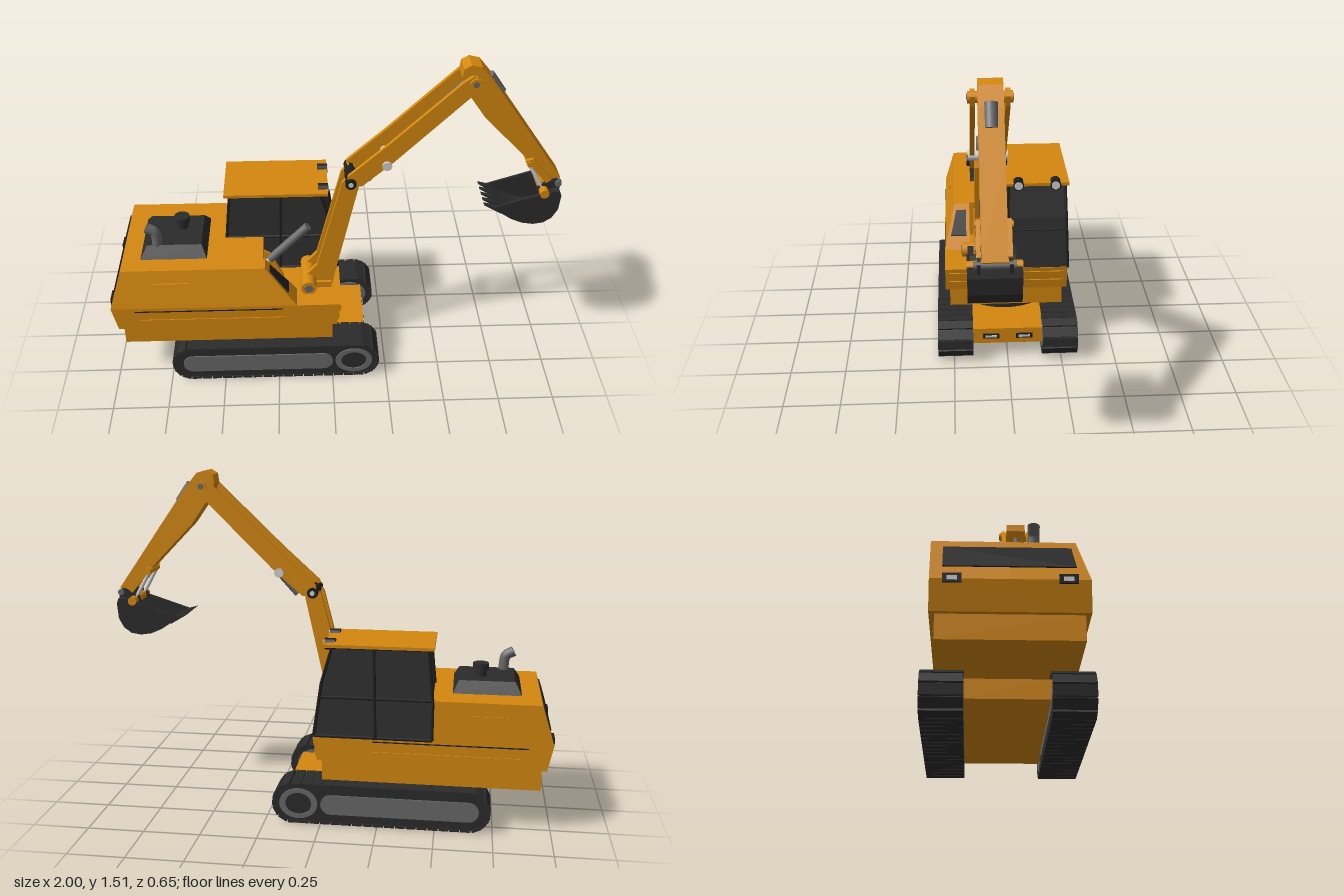
import * as THREE from 'three';
import { ConvexGeometry } from 'three/addons/geometries/ConvexGeometry.js';

const mat = (name, color) => {
  const m = new THREE.MeshStandardMaterial({ color });
  m.name = name;
  return m;
};
const V = (x, y, z) => new THREE.Vector3(x, y, z);

export function createModel() {
  const paint = mat('orange paint', 0xd4880f);
  const rubber = mat('track black', 0x2b2b2b);
  const glass = mat('dark glass', 0x303030);
  const trim = mat('black trim', 0x1e1e1e);
  const steel = mat('grey steel', 0x686868);
  const chrome = mat('pale steel', 0xd2d2d2);
  const model = new THREE.Group();
  model.name = 'excavator';

  const add = (name, geo, m, parent = model) => {
    const mesh = new THREE.Mesh(geo, m);
    mesh.name = name;
    parent.add(mesh);
    return mesh;
  };
  // Box given by its two extreme corners
  const box = (name, m, x0, x1, y0, y1, z0, z1, parent) => {
    const b = add(name, new THREE.BoxGeometry(x1 - x0, y1 - y0, z1 - z0), m, parent);
    b.position.set((x0 + x1) / 2, (y0 + y1) / 2, (z0 + z1) / 2);
    return b;
  };
  // Side profile extruded from z0 to z1
  const slab = (name, m, pts, z0, z1, parent) => {
    const shape = new THREE.Shape(pts.map(p => new THREE.Vector2(...p)));
    const geo = new THREE.ExtrudeGeometry(shape, { depth: z1 - z0, bevelEnabled: false });
    return add(name, geo.translate(0, 0, z0), m, parent);
  };
  // Cylinder between two points
  const rod = (name, m, a, b, r, parent, sides = 20) => {
    const d = b.clone().sub(a);
    const c = add(name, new THREE.CylinderGeometry(r, r, d.length(), sides), m, parent);
    c.position.copy(a).addScaledVector(d, 0.5);
    c.quaternion.setFromUnitVectors(V(0, 1, 0), d.normalize());
    return c;
  };
  const pin = (name, m, x, y, z0, z1, r, parent) => rod(name, m, V(x, y, z0), V(x, y, z1), r, parent);
  const hull = (name, m, pts, parent) => add(name, new ConvexGeometry(pts.map(p => V(...p))), m, parent);
  // Thin plate raised from a flat face
  const plate = (name, m, pts, off, parent) =>
    hull(name, m, [...pts, ...pts.map(p => p.map((v, i) => v + off[i]))], parent);

  // Tracks: belt, shoes, side panel and idler wheel
  const X0 = -0.647, X1 = 0.122, CY = 0.0925, LEN = X1 - X0;
  const stadium = (x0, x1, r) => {
    const s = new THREE.Shape();
    s.absarc(x1, CY, r, -Math.PI / 2, Math.PI / 2);
    s.absarc(x0, CY, r, Math.PI / 2, Math.PI * 1.5);
    return s;
  };
  const extrude = (shape, z0, z1) =>
    new THREE.ExtrudeGeometry(shape, { depth: z1 - z0, bevelEnabled: false, curveSegments: 16 }).translate(0, 0, z0);
  for (const side of [1, -1]) {
    const track = new THREE.Group();
    track.name = side > 0 ? 'rightTrack' : 'leftTrack';
    track.position.z = side * 0.2425;
    model.add(track);
    add('belt', extrude(stadium(X0, X1, 0.086), -0.076, 0.076), rubber, track);
    const r = 0.0865, arc = Math.PI * r, total = 2 * (LEN + arc), n = 44;
    for (let i = 0; i < n; i++) {
      let s = (i / n) * total;
      const far = s >= total / 2;
      if (far) s -= total / 2;
      const a = s < LEN ? 0 : (s - LEN) / r;
      let x = s < LEN ? X0 + s : X1 + r * Math.sin(a);
      let y = r * Math.cos(a);
      if (far) { x = X0 + X1 - x; y = -y; }
      const shoe = add('trackShoe', new THREE.BoxGeometry(0.043, 0.012, 0.163), rubber, track);
      shoe.position.set(x, CY + y, 0);
      shoe.rotation.z = -a + (far ? Math.PI : 0);
    }
    for (const f of [1, -1]) {
      const z = f * 0.078;
      add('sidePanel', extrude(stadium(-0.645, -0.045, 0.045), z - 0.004, z + 0.004), steel, track);
      const ring = new THREE.Shape().absellipse(0.098, CY, 0.085, 0.07, 0, Math.PI * 2);
      ring.holes.push(new THREE.Path().absellipse(0.098, CY, 0.058, 0.05, 0, Math.PI * 2));
      add('idlerRing', extrude(ring, z - 0.004, z + 0.004), steel, track);
    }
  }

  // Undercarriage and turntable
  box('undercarriage', paint, -0.68, 0.155, 0.07, 0.148, -0.167, 0.167);
  add('turntable', new THREE.CylinderGeometry(0.24, 0.24, 0.05, 36), rubber).position.set(-0.27, 0.168, 0);
  for (const z of [0.077, -0.077]) {
    box('lampFrame', trim, 0.153, 0.159, 0.096, 0.121, z - 0.038, z + 0.038);
    box('lampLens', chrome, 0.157, 0.162, 0.103, 0.114, z - 0.026, z + 0.026);
  }

  // House: skirt, platform, engine cover
  box('lowerSkirt', paint, -0.95, 0, 0.188, 0.29, -0.265, 0.265);
  const ring = (y, x0, x1, z0, z1) => [[x0, y, z0], [x0, y, z1], [x1, y, z0], [x1, y, z1]];
  hull('platform', paint, [...ring(0.285, -0.97, 0.02, -0.285, 0.285), ...ring(0.4, -0.995, 0.037, -0.285, 0.285)]);
  hull('leftEngineCover', paint, [...ring(0.4, -0.995, -0.475, -0.285, 0), ...ring(0.577, -0.94, -0.475, -0.285, 0)]);
  hull('rightEngineCover', paint, [...ring(0.4, -0.995, -0.31, 0, 0.285), ...ring(0.577, -0.94, -0.31, 0, 0.238)]);
  hull('sideTank', paint, [...ring(0.4, -0.31, -0.16, 0.165, 0.285), ...ring(0.577, -0.311, -0.3, 0.165, 0.238)]);
  plate('tankGrille', trim, [[-0.282, 0.55, 0.182], [-0.282, 0.55, 0.228], [-0.2, 0.452, 0.182], [-0.2, 0.452, 0.256]],
    [0.005, 0.005, 0]);
  plate('rearGrille', trim, [[-0.977, 0.455, -0.24], [-0.977, 0.455, 0.235], [-0.949, 0.545, -0.24], [-0.949, 0.545, 0.22]],
    [-0.006, 0.002, 0]);
  for (const z of [0.205, -0.205]) {
    box('rearLampFrame', trim, -1, -0.99, 0.385, 0.42, z - 0.034, z + 0.034);
    box('rearLampLens', chrome, -1.002, -0.996, 0.393, 0.41, z - 0.018, z + 0.018);
  }
  // Pressed strips on sides and front
  for (const s of [1, -1]) {
    const z = s * 0.285;
    box('sideSlot', trim, -0.89, -0.225, 0.379, 0.384, z - 0.002, z + 0.002);
    box('sideStrip', paint, -0.87, -0.21, 0.328, 0.336, z - 0.004, z + 0.004);
  }
  plate('rightHatch', paint, [[-0.8, 0.503, 0.258], [-0.64, 0.503, 0.258], [-0.8, 0.518, 0.2545], [-0.64, 0.518, 0.2545]], [0, 0, 0.006]);
  box('leftHatch', paint, -0.8, -0.64, 0.503, 0.518, -0.289, -0.283);
  for (const [y0, y1] of [[0.3, 0.333], [0.347, 0.38]]) {
    const fx = y => 0.02 + (y - 0.285) * 0.148;
    plate('frontRib', paint, [[fx(y0), y0, -0.27], [fx(y0), y0, 0.27], [fx(y1), y1, -0.27], [fx(y1), y1, 0.27]], [0.007, 0, 0]);
  }

  // Engine hood, air intake and exhaust
  hull('engineHood', rubber, [...ring(0.575, -0.86, -0.56, -0.16, 0.157), ...ring(0.626, -0.83, -0.585, -0.115, 0.112)]);
  rod('airIntake', rubber, V(-0.68, 0.62, -0.03), V(-0.68, 0.665, -0.03), 0.026);
  rod('airIntakeCap', rubber, V(-0.68, 0.655, -0.03), V(-0.68, 0.685, -0.03), 0.035);
  const bend = new THREE.CatmullRomCurve3([V(-0.785, 0.61, 0.095), V(-0.785, 0.66, 0.095), V(-0.793, 0.69, 0.095), V(-0.827, 0.71, 0.095)]);
  const pipe = add('exhaustPipe', new THREE.TubeGeometry(bend, 20, 0.023, 14), steel);
  pipe.material.side = THREE.DoubleSide;

  // Cab: glazed body, frame bars, roof and work lamps
  const profile = [[-0.48, 0.4], [-0.48, 0.57], [-0.457, 0.797], [-0.045, 0.797], [0, 0.64], [0.034, 0.4]];
  const inset = y => Math.max(0, (y - 0.4) * 0.035);
  const cabPt = ([x, y], s) => V(x, y, s > 0 ? 0 - inset(y) : -0.287 + inset(y));
  add('cabGlass', new ConvexGeometry(profile.flatMap(p => [cabPt(p, 1), cabPt(p, -1)])), glass);
  for (const s of [1, -1]) {
    profile.forEach((p, i) => rod('cabFrameBar', trim, cabPt(p, s), cabPt(profile[(i + 1) % 6], s), 0.007, model, 6));
    rod('cabPillar', trim, cabPt([-0.235, 0.4], s), cabPt([-0.225, 0.797], s), 0.007, model, 6);
    rod('cabSideRail', trim, cabPt([-0.48, 0.575], s), cabPt([0.009, 0.575], s), 0.006, model, 6);
  }
  rod('cabFrontRail', trim, cabPt([0.009, 0.585], 1), cabPt([0.009, 0.585], -1), 0.006, model, 6);
  box('cabRoof', paint, -0.482, -0.01, 0.797, 0.811, -0.289, 0.002);
  for (const z of [-0.058, -0.227]) {
    rod('workLamp', trim, V(-0.055, 0.8, z), V(-0.008, 0.8, z), 0.025);
    rod('workLampLens', chrome, V(-0.01, 0.8, z), V(-0.004, 0.8, z), 0.019);
  }

  // Boom foot pivot and lift cylinder
  pin('boomFootPin', paint, -0.105, 0.43, 0, 0.205, 0.035);
  pin('boomFootCap', steel, -0.105, 0.43, 0.2, 0.208, 0.02);
  box('boomFootBlock', paint, -0.14, 0.0, 0.39, 0.43, 0.02, 0.16);
  for (const z of [0.055, 0.13]) slab('liftBracket', paint, [[-0.315, 0.4], [-0.22, 0.4], [-0.28, 0.53], [-0.315, 0.55]], z, z + 0.015);
  rod('liftRod', chrome, V(-0.32, 0.48, 0.1), V(-0.25, 0.555, 0.1), 0.012);
  rod('liftCylinder', steel, V(-0.28, 0.525, 0.1), V(-0.105, 0.705, 0.1), 0.019);

  // Boom: paired lower and upper plates
  const lower = [[-0.12, 0.41], [0.005, 0.41], [0.015, 0.47], [0.12, 0.95], [0.105, 0.985], [0.075, 0.995], [0.045, 0.96], [-0.065, 0.52], [-0.115, 0.46]];
  for (const z of [0.032, 0.124]) slab('lowerBoomPlate', paint, lower, z, z + 0.02);
  const upper = [[0.06, 0.95], [0.13, 0.955], [0.265, 1.075], [0.6, 1.41], [0.61, 1.45], [0.57, 1.47], [0.535, 1.445], [0.235, 1.155], [0.07, 1.005]];
  for (const z of [0.013, 0.145]) slab('upperBoomPlate', paint, upper, z, z + 0.019);
  pin('elbowPin', trim, 0.082, 0.97, 0, 0.176, 0.024);
  pin('elbowPinCap', chrome, 0.082, 0.97, -0.003, 0.179, 0.011);
  pin('crossRoller', chrome, 0.235, 1.058, 0.005, 0.174, 0.021);
  rod('stickCylinder', steel, V(0.155, 0.955, 0.088), V(0.245, 1.055, 0.088), 0.024);
  rod('stickRod', steel, V(0.34, 1.19, 0.088), V(0.55, 1.41, 0.088), 0.012);

  // Stick and its bucket cylinder
  slab('stick', paint, [[0.53, 1.45], [0.56, 1.38], [0.64, 1.265], [0.8, 1.1], [0.92, 0.97], [0.975, 0.935], [0.992, 0.965],
    [0.785, 1.26], [0.665, 1.43], [0.61, 1.497], [0.565, 1.508], [0.535, 1.49]], 0.04, 0.136);
  pin('stickPin', paint, 0.582, 1.44, 0.003, 0.174, 0.023);
  pin('stickPinCap', steel, 0.582, 1.44, 0, 0.177, 0.013);
  rod('bucketCylinder', steel, V(0.645, 1.44, 0.088), V(0.7, 1.36, 0.088), 0.027);

  // Bucket linkage
  for (const z of [0.022, 0.138]) {
    slab('linkPlate', paint, [[0.83, 1.06], [0.86, 1.07], [0.95, 0.965], [0.93, 0.945]], z, z + 0.016);
    rod('bucketLink', chrome, V(0.845, 1.045, z + 0.008), V(0.92, 0.91, z + 0.008), 0.009);
  }
  pin('linkPin', paint, 0.848, 1.045, 0.015, 0.16, 0.013);
  pin('bucketLinkPin', paint, 0.92, 0.912, -0.016, 0.192, 0.02);
  pin('bucketHingePin', steel, 0.98, 0.948, 0.01, 0.166, 0.014);

  // Bucket: curved shell, cheeks, hinge ears and teeth
  const outer = [[0.7, 0.843], [0.785, 0.785], [0.835, 0.763], [0.885, 0.755], [0.93, 0.762], [0.965, 0.787], [0.988, 0.83], [0.994, 0.9], [0.985, 0.925], [0.925, 0.915]];
  const inner = [[0.925, 0.9], [0.972, 0.905], [0.972, 0.84], [0.952, 0.8], [0.923, 0.778], [0.885, 0.772], [0.84, 0.78], [0.79, 0.8]];
  slab('bucketShell', rubber, [...outer, ...inner], -0.008, 0.184);
  for (const z of [-0.012, 0.176]) slab('bucketCheek', rubber, outer, z, z + 0.012);
  for (const z of [0.022, 0.14]) slab('bucketEar', rubber, [[0.89, 0.9], [0.99, 0.915], [0.995, 0.955], [0.97, 0.965], [0.9, 0.935]], z, z + 0.014);
  for (let i = 0; i < 5; i++) {
    const z = -0.008 + i * 0.042;
    slab('bucketTooth', rubber, [[0.662, 0.857], [0.74, 0.81], [0.755, 0.822], [0.715, 0.843]], z, z + 0.024);
  }
  return model;
}
